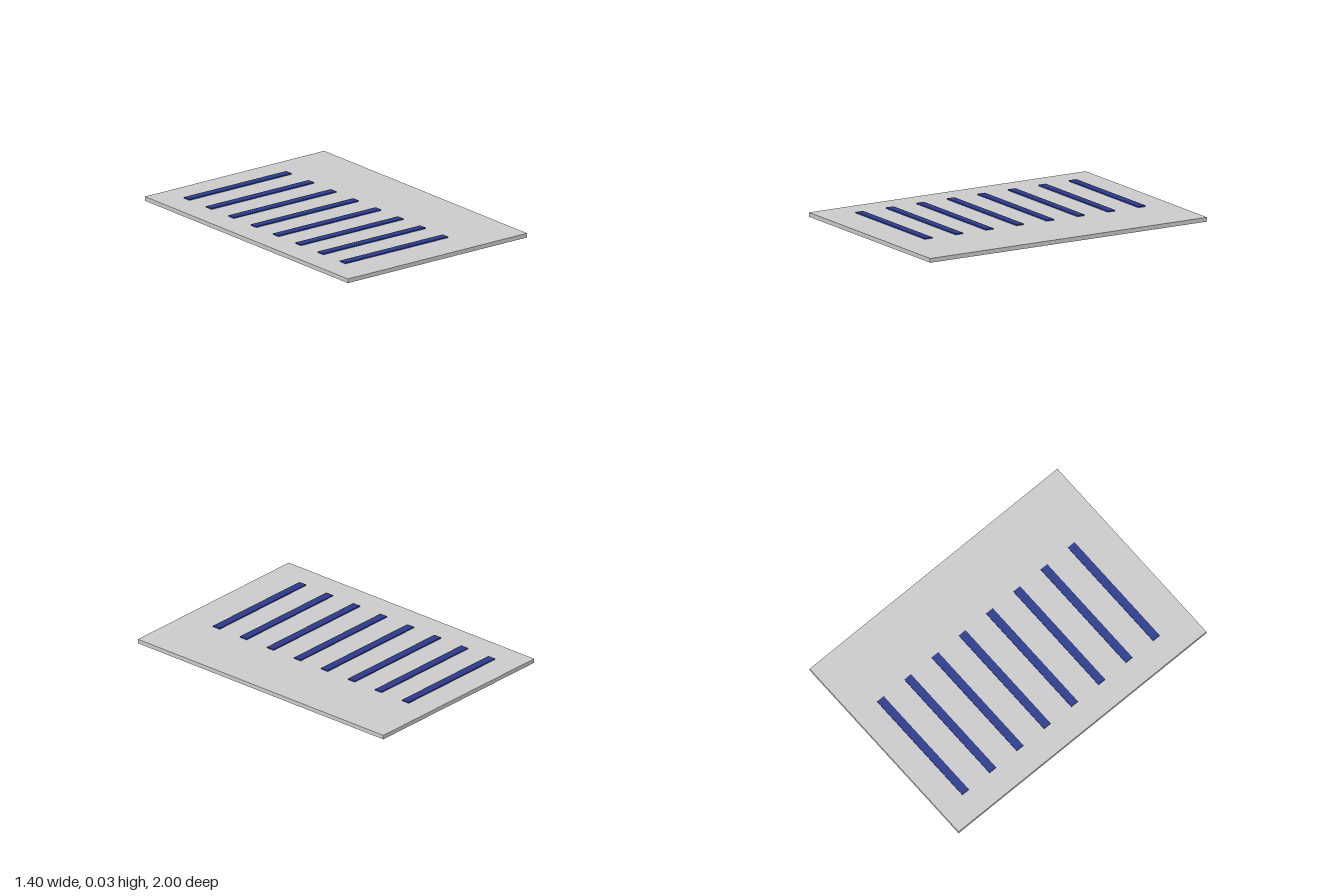
import * as THREE from 'three';

export function createModel() {
  const group = new THREE.Group();
  const paper = new THREE.MeshStandardMaterial({ color: 0xcccccc });
  const ink = new THREE.MeshStandardMaterial({ color: 0x2c3a8c });

  // Flat sheet lying on the ground
  const thickness = 0.027;
  const sheet = new THREE.Mesh(new THREE.BoxGeometry(1.4, thickness, 2), paper);
  sheet.name = 'sheet';
  sheet.position.y = thickness / 2;
  group.add(sheet);

  // Eight raised lines, evenly spaced from back to front and offset to one side
  const lines = new THREE.Group();
  lines.name = 'lines';
  const lineGeometry = new THREE.BoxGeometry(0.8, 0.014, 0.053);
  for (let i = 0; i < 8; i++) {
    const line = new THREE.Mesh(lineGeometry, ink);
    line.name = `line${i + 1}`;
    line.position.set(-0.133, 0.0275, -0.8 + i * 0.22);
    lines.add(line);
  }
  group.add(lines);

  return group;
}
